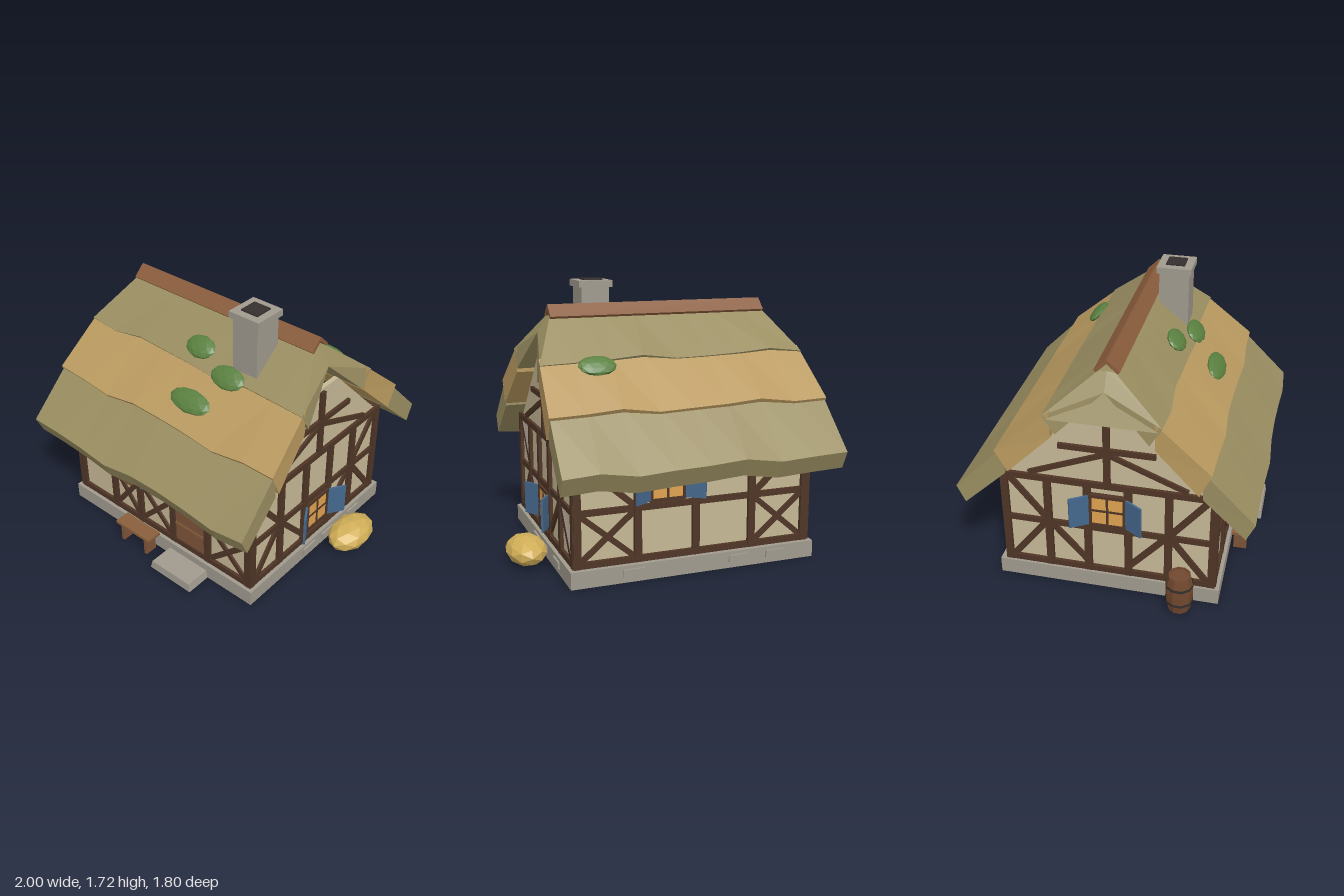
import * as THREE from 'three';

const C = { plaster: 0xc6b896, timber: 0x4f3526, stone: 0xa09a8e, olive: 0x998d60, tan: 0xb9995f, door: 0x7d5437,
  plank: 0x8a5f3c, ridge: 0x8a5c3c, blue: 0x44678c, glow: 0xe0a350, iron: 0x35302e, moss: 0x5a8040, hay: 0xd0ae58, barrel: 0x71482f };
const mats = {};
const mat = (c) => (mats[c] ??= new THREE.MeshStandardMaterial({ color: c, flatShading: true, side: THREE.DoubleSide }));

function add(parent, name, geo, color, x = 0, y = 0, z = 0) {
  const m = new THREE.Mesh(geo, mat(color));
  m.name = name;
  m.position.set(x, y, z);
  parent.add(m);
  return m;
}
const box = (p, name, color, w, h, d, x, y, z) => add(p, name, new THREE.BoxGeometry(w, h, d), color, x, y, z);

function group(parent, name, x = 0, y = 0, z = 0, ry = 0) {
  const g = new THREE.Group();
  g.name = name;
  g.position.set(x, y, z);
  g.rotation.y = ry;
  parent.add(g);
  return g;
}

// Straight beam on a wall, between two points of the wall plane
function beam(wall, x1, y1, x2, y2, t = 0.038, depth = 0.034) {
  const b = box(wall, 'timber', C.timber, Math.hypot(x2 - x1, y2 - y1), t, depth, (x1 + x2) / 2, (y1 + y2) / 2, 0);
  b.rotation.z = Math.atan2(y2 - y1, x2 - x1);
}
const SILL = 0.125, MID = 0.438, TOP = 0.76;
function frame(wall, posts) {
  for (const x of posts) box(wall, 'post', C.timber, 0.046, 0.675, 0.044, x, 0.4425, 0);
  const a = posts[0], b = posts[posts.length - 1];
  for (const y of [SILL, TOP]) beam(wall, a, y, b, y, 0.04, 0.04);
}
function cross(wall, a, b) {
  beam(wall, a, SILL, b, MID, 0.034, 0.03);
  beam(wall, a, MID, b, SILL, 0.034, 0.028);
}

// Lit window with glazing bars and two half-open shutters
function windowUnit(wall, x, y) {
  const g = group(wall, 'window', x, y, 0.012);
  box(g, 'pane', C.glow, 0.2, 0.2, 0.02, 0, 0, 0);
  for (const s of [-1, 1]) {
    box(g, 'windowFrame', C.timber, 0.02, 0.22, 0.036, s * 0.105, 0, 0);
    box(g, 'windowFrame', C.timber, 0.22, 0.02, 0.036, 0, s * 0.105, 0);
    const hinge = group(g, 'shutterHinge', s * 0.115, 0, 0.012, -s * 0.55);
    box(hinge, 'shutter', C.blue, 0.122, 0.21, 0.014, s * 0.061, 0, 0);
  }
  box(g, 'glazingBar', C.timber, 0.014, 0.2, 0.028, 0, 0, 0);
  box(g, 'glazingBar', C.timber, 0.2, 0.014, 0.028, 0, 0, 0);
}

// Thatch course: a section of [z, y, end inset] swept along x, with a wavy lower edge
function course(section, x0, x1, side, seed) {
  const n = 9, k = section.length, pos = [], idx = [];
  for (let i = 0; i < n; i++) {
    const t = i / (n - 1);
    section.forEach(([z, y, inset], j) => {
      const w = j < 2 ? 0.013 * Math.sin(i * 1.55 + seed) + 0.006 * Math.sin(i * 3.1 + seed * 2) : 0;
      pos.push(THREE.MathUtils.lerp(x0 + inset, x1 - inset, t), y + w, side * (z - w * 0.6));
    });
  }
  const tri = (a, b, c) => (side > 0 ? idx.push(a, b, c) : idx.push(a, c, b));
  for (let i = 0; i < n - 1; i++) for (let j = 0; j < k; j++) {
    const a = i * k + j, b = i * k + (j + 1) % k;
    tri(a, b, a + k);
    tri(b, b + k, a + k);
  }
  for (let j = 1; j < k - 1; j++) {
    tri(0, j + 1, j);
    const e = (n - 1) * k;
    tri(e, e + j, e + j + 1);
  }
  const g = new THREE.BufferGeometry();
  g.setAttribute('position', new THREE.Float32BufferAttribute(pos, 3));
  g.setIndex(idx);
  g.computeVertexNormals();
  return g;
}

function buildRoof(house) {
  const roof = group(house, 'roof');
  const sections = [
    [[0.89, 0.715, 0], [0.84, 0.605, 0], [0.58, 0.847, 0.01], [0.58, 1.03, 0.01]],
    [[0.63, 1.01, 0], [0.605, 0.97, 0], [0.56, 0.867, 0], [0.3, 1.119, 0.03], [0.3, 1.29, 0.03]],
    [[0.34, 1.27, 0], [0.315, 1.235, 0], [0.27, 1.148, 0], [0, 1.41, 0.075], [0, 1.51, 0.14], [0.05, 1.505, 0.14]],
  ];
  const ends = [[-0.95, 0.825], [-0.945, 0.825], [-0.92, 0.8]];
  for (const side of [1, -1]) sections.forEach((s, i) =>
    add(roof, 'thatchCourse', course(s, ...ends[i], side, i * 1.7 + (side > 0 ? 0.4 : 2.5)), i === 1 ? C.tan : C.olive));
  // Closed hip at the left end
  const hip = new THREE.BufferGeometry();
  hip.setAttribute('position', new THREE.Float32BufferAttribute([-0.78, 1.5, 0, -0.92, 1.24, -0.32, -0.92, 1.24, 0.32], 3));
  hip.computeVertexNormals();
  add(roof, 'hip', hip, C.olive);
  // Crossed ridge boards
  for (const s of [1, -1]) {
    const b = box(roof, 'ridgeBoard', C.ridge, 1.44, 0.1, 0.02, -0.06, 1.537, s * 0.032);
    b.rotation.x = -s * 0.8;
  }
  // Moss clumps: x, y, z, radius
  for (const [x, y, z, r] of [[-0.04, 1.355, 0.255, 0.11], [0.24, 1.285, 0.33, 0.125], [0.085, 1.135, 0.495, 0.155], [0.46, 1.245, -0.375, 0.12]]) {
    const m = add(roof, 'moss', new THREE.IcosahedronGeometry(1, 1), C.moss, x, y, z);
    m.scale.set(r, 0.028, 0.075);
    m.rotation.x = Math.sign(z) * 0.72;
  }
  // Chimney
  box(roof, 'chimneyStack', C.stone, 0.182, 0.55, 0.19, 0.325, 1.405, 0.18);
  box(roof, 'chimneyCap', C.stone, 0.22, 0.042, 0.22, 0.325, 1.69, 0.18);
  box(roof, 'flue', C.iron, 0.12, 0.02, 0.12, 0.325, 1.71, 0.18);
}

function buildFront(house) {
  const w = group(house, 'frontWall', 0, 0, 0.645);
  frame(w, [-0.793, -0.477, -0.237, 0.06, 0.353, 0.682]);
  beam(w, -0.793, MID, 0.06, MID);
  beam(w, 0.353, MID, 0.682, MID);
  cross(w, -0.477, -0.237);
  cross(w, -0.237, 0.06);
  cross(w, 0.353, 0.682);
  beam(w, -0.77, TOP, -0.49, MID);
  beam(w, -0.19, TOP, 0.05, MID);
  beam(w, 0.37, MID, 0.66, TOP);
  windowUnit(w, -0.36, 0.58);
  // Planter with leaves
  box(w, 'planter', C.door, 0.23, 0.04, 0.065, -0.36, 0.462, 0.05);
  for (let i = 0; i < 6; i++)
    add(w, 'leaves', new THREE.IcosahedronGeometry(0.022, 0), C.moss, -0.45 + i * 0.036, 0.492 + (i % 2) * 0.008, 0.052);
  // Door
  for (let i = 0; i < 3; i++) box(w, 'doorPlank', C.door, 0.082, 0.57, 0.024, 0.123 + i * 0.084, 0.4, 0);
  box(w, 'doorLintel', C.timber, 0.3, 0.04, 0.036, 0.207, 0.7, 0);
  for (const y of [0.28, 0.56]) box(w, 'doorStrap', C.plank, 0.25, 0.018, 0.032, 0.207, y, 0);
  box(w, 'doorHandle', C.iron, 0.014, 0.035, 0.05, 0.12, 0.41, 0);
}

function buildBack(house) {
  const w = group(house, 'backWall', 0, 0, -0.645, Math.PI);
  const posts = [-0.682, -0.31, 0.06, 0.43, 0.793];
  frame(w, posts);
  beam(w, posts[0], MID, posts[4], MID);
  cross(w, posts[0], posts[1]);
  cross(w, posts[3], posts[4]);
  beam(w, posts[0], TOP, posts[1], MID);
  beam(w, posts[4], TOP, posts[3], MID);
  windowUnit(w, -0.125, 0.58);
}

function buildGable(house, name, x, ry, windowY) {
  const w = group(house, name, x, 0, 0, ry);
  const tri = new THREE.Shape([[-0.62, 0.77], [0.62, 0.77], [0.165, 1.235], [-0.165, 1.235]].map((p) => new THREE.Vector2(...p)));
  add(w, 'gablePlaster', new THREE.ExtrudeGeometry(tri, { depth: 0.03, bevelEnabled: false }), C.plaster, 0, 0, -0.03);
  frame(w, [-0.638, -0.37, -0.125, 0.125, 0.37, 0.638]);
  beam(w, -0.638, MID, 0.638, MID);
  for (const s of [-1, 1]) {
    beam(w, s * 0.62, TOP, s * 0.38, MID + 0.02);
    beam(w, s * 0.38, MID, s * 0.62, SILL);
    beam(w, s * 0.36, MID, s * 0.13, SILL + 0.05);
    beam(w, 0, 0.985, s * 0.48, 0.79, 0.032);
  }
  beam(w, 0, 0.77, 0, 1.22, 0.04, 0.042);
  beam(w, -0.29, 1.008, 0.29, 1.008, 0.034, 0.04);
  windowUnit(w, 0, windowY);
}

function buildYard(house) {
  // Doorstep, narrower on top
  const step = add(house, 'doorstep', new THREE.CylinderGeometry(0.66, 0.707, 0.055, 4, 1).rotateY(Math.PI / 4), C.stone, 0.207, 0.0275, 0.77);
  step.scale.set(0.34, 1, 0.175);
  // Bench
  box(house, 'benchSeat', C.plank, 0.3, 0.02, 0.105, -0.18, 0.136, 0.752);
  for (const x of [-0.285, -0.075]) box(house, 'benchLeg', C.door, 0.022, 0.126, 0.085, x, 0.063, 0.752);
  // Barrel
  const profile = [[0, 0], [0.068, 0], [0.083, 0.075], [0.085, 0.128], [0.083, 0.18], [0.068, 0.255], [0.06, 0.255], [0.06, 0.245], [0, 0.245]];
  const barrel = group(house, 'barrel', -0.915, 0, 0.46);
  add(barrel, 'staves', new THREE.LatheGeometry(profile.map((p) => new THREE.Vector2(...p)), 10), C.barrel);
  for (const y of [0.07, 0.186]) add(barrel, 'hoop', new THREE.CylinderGeometry(0.086, 0.086, 0.02, 10, 1, true), C.iron, 0, y, 0);
  // Hay heap
  add(house, 'hayHeap', new THREE.IcosahedronGeometry(1, 1), C.hay, 0.873, 0.088, -0.175).scale.set(0.127, 0.09, 0.188);
}

export function createModel() {
  const house = new THREE.Group();
  house.name = 'cottage';
  // Stone base with projecting stones
  box(house, 'base', C.stone, 1.58, 0.105, 1.385, -0.056, 0.0525, -0.004);
  for (const z of [0.1, -0.39, -0.1]) box(house, 'baseStone', C.stone, 0.02, 0.045, 0.125, 0.736, 0.06, z);
  for (const x of [0.35, -0.33, -0.58]) box(house, 'baseStone', C.stone, 0.13, 0.045, 0.02, x, 0.06, -0.699);
  box(house, 'walls', C.plaster, 1.5, 0.68, 1.29, -0.06, 0.44, 0);
  buildFront(house);
  buildBack(house);
  buildGable(house, 'rightGable', 0.69, Math.PI / 2, 0.302);
  buildGable(house, 'leftGable', -0.81, -Math.PI / 2, 0.58);
  buildRoof(house);
  buildYard(house);
  return house;
}
